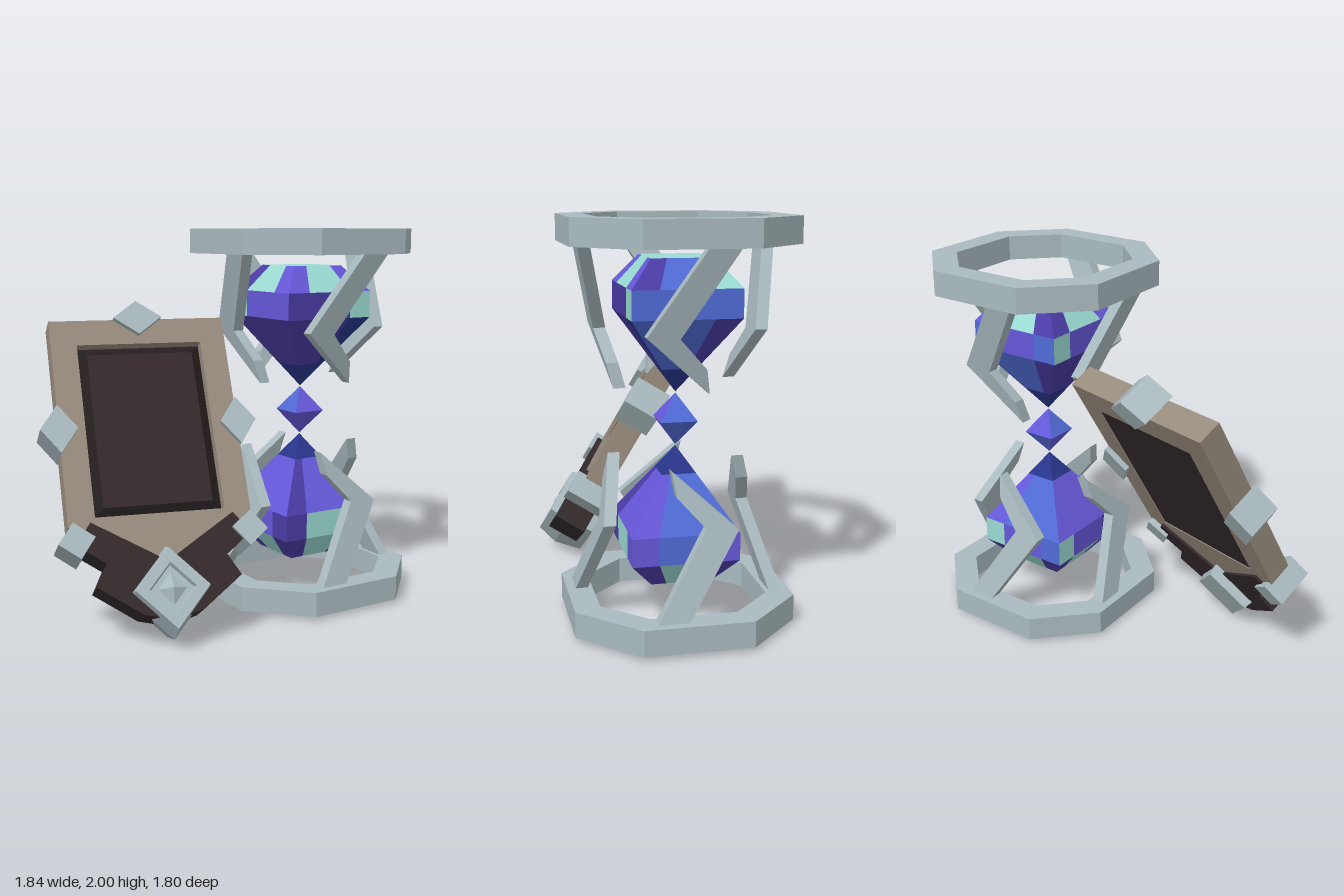
import * as THREE from 'three';

const mat = (name, color) => {
  const m = new THREE.MeshStandardMaterial({ color });
  m.name = name;
  return m;
};
const silver = mat('silver', 0xa9babf);
const brown = mat('frameBrown', 0x978b7d);
const dark = mat('darkLeather', 0x342a2c);
const black = mat('blackTrim', 0x251e1f);
const gemColours = {
  V: mat('violet', 0x6658da), D: mat('deepViolet', 0x4b3ca6), B: mat('blue', 0x506bd6),
  N: mat('navy', 0x29358c), T: mat('teal', 0x9adbd3),
};

function add(parent, name, geometry, material) {
  const m = new THREE.Mesh(geometry, material);
  m.name = name;
  parent.add(m);
  return m;
}
const shapeOf = pts => new THREE.Shape(pts.map(p => new THREE.Vector2(...p)));
const pathOf = pts => new THREE.Path(pts.map(p => new THREE.Vector2(...p)));

// Slab of a 2D outline (with optional hole) between depths z0 and z1
function slab(pts, z0, z1, hole) {
  const s = shapeOf(pts);
  if (hole) s.holes.push(pathOf(hole));
  return new THREE.ExtrudeGeometry(s, { depth: z1 - z0, bevelEnabled: false }).translate(0, 0, z0);
}
const rhombus = (a, b, x = 0, y = 0) => [[x + a, y], [x, y + b], [x - a, y], [x, y - b]];
const octagon = (r, h) => [[r, -h], [r, h], [h, r], [-h, r], [-r, h], [-r, -h], [-h, -r], [h, -r]];

// Square-section gem; every side has rows of coloured cells
function makeGem(name, levels, sides, cap) {
  const bins = {};
  const push = (c, ...pts) => (bins[c] ??= []).push(...pts.flat());
  const cols = [0, 0.25, 0.75, 1];
  const corner = k => [[0, 1], [1, 0], [0, -1], [-1, 0]][k % 4];
  const at = (k, f, [y, r]) => {
    const [a, b] = [corner(k), corner(k + 1)];
    return [r * (a[0] + (b[0] - a[0]) * f), y, r * (a[1] + (b[1] - a[1]) * f)];
  };
  sides.forEach((rows, k) => rows.forEach((row, j) => {
    for (let i = 0; i < row.length; i++) {
      const [f0, f1] = row.length === 1 ? [0, 1] : [cols[i], cols[i + 1]];
      const [tl, tr] = [at(k, f0, levels[j]), at(k, f1, levels[j])];
      const [bl, br] = [at(k, f0, levels[j + 1]), at(k, f1, levels[j + 1])];
      if (levels[j][1] > 0) push(row[i], tl, bl, tr);
      if (levels[j + 1][1] > 0) push(row[i], tr, bl, br);
    }
  }));
  if (cap) {
    const c = [0, 1, 2, 3].map(k => at(k, 0, levels[0]));
    push(cap, c[0], c[1], c[2], c[0], c[2], c[3]);
  }
  const g = new THREE.Group();
  g.name = name;
  for (const c in bins) {
    const geo = new THREE.BufferGeometry();
    geo.setAttribute('position', new THREE.Float32BufferAttribute(bins[c], 3));
    geo.computeVertexNormals();
    add(g, name + 'Facets', geo, gemColours[c]);
  }
  return g;
}

// One bent strut leaning inward toward the waist
function strutGeometry() {
  const g = slab([[0.2, 1.89], [0.05, 1.89], [-0.22, 1.47], [0.09, 1.19], [0.07, 1.31], [-0.065, 1.46]], -0.03, 0.03);
  const p = g.attributes.position;
  for (let i = 0; i < p.count; i++) p.setZ(i, p.getZ(i) + 0.477 - 0.26 * (1.9 - p.getY(i)));
  g.computeVertexNormals();
  return g;
}

// Half of the hourglass: ring, four struts and a gem bulb
function makeHalf(name, sides) {
  const g = new THREE.Group();
  g.name = name;
  const ring = slab(octagon(0.572, 0.197), 1.87, 2, octagon(0.443, 0.145)).rotateX(-Math.PI / 2);
  add(g, 'ring', ring, silver);
  const strut = strutGeometry();
  for (let k = 0; k < 4; k++) add(g, 'strut', strut, silver).rotation.y = Math.PI * (0.25 + k / 2);
  const levels = [[1.805, 0.215], [1.67, 0.375], [1.53, 0.375], [1.27, 0.122], [1.145, 0]];
  g.add(makeGem('gemBulb', levels, sides, 'T'));
  return g;
}

function makeHourglass() {
  const g = new THREE.Group();
  g.name = 'hourglass';
  g.position.set(0.345, 0, -0.33);
  g.add(makeHalf('upperHalf', [
    ['VTV', 'DDT', 'DDN', 'N'], ['DBT', 'BBB', 'BBD', 'N'],
    ['VTD', 'BVB', 'BBD', 'N'], ['DTV', 'TVV', 'DDD', 'N']]));
  const lower = makeHalf('lowerHalf', [
    ['DTD', 'VBV', 'BBV', 'N'], ['DTD', 'VTD', 'VVD', 'N'],
    ['DTD', 'DVT', 'VVV', 'N'], ['DTD', 'BVT', 'BBV', 'N']]);
  lower.rotation.x = Math.PI;
  lower.position.y = 2.02;
  g.add(lower);
  g.add(makeGem('middleGem', [[1.14, 0], [1.01, 0.13], [0.88, 0]],
    [['V', 'V'], ['B', 'B'], ['V', 'B'], ['B', 'V']]));
  return g;
}

// Tilted shield-shaped frame; local origin is the middle of its top front edge
function makeFrame() {
  const g = new THREE.Group();
  g.name = 'tiltedFrame';
  g.position.set(-0.465, 1.525, 0.08);
  g.rotation.set(-Math.PI / 6, Math.PI / 6, 0, 'YXZ');

  const w = 0.33, top = -0.139, bottom = -1.06;
  const border = [[0.465, 0], [-0.465, 0], [-0.465, -1.1], [0, -1.31], [0.465, -1.1]];
  add(g, 'frameBorder', slab(border, -0.135, 0, [[w, top], [-w, top], [-w, bottom], [w, bottom]]), brown);

  // Panel with a raised, bevelled face
  const cy = (top + bottom) / 2, h = top - bottom;
  add(g, 'panelBack', new THREE.BoxGeometry(2 * w, h, 0.07), dark).position.set(0, cy, -0.095);
  const face = new THREE.BoxGeometry(2 * w, h, 0.04);
  const p = face.attributes.position;
  for (let i = 0; i < p.count; i++) {
    if (p.getZ(i) > 0) p.setXY(i, p.getX(i) - Math.sign(p.getX(i)) * 0.05, p.getY(i) - Math.sign(p.getY(i)) * 0.05);
  }
  face.computeVertexNormals();
  add(g, 'panelFace', face, [black, black, black, black, dark, black]).position.set(0, cy, -0.04);

  // Dark stepped skirt under the border
  const half = [[0.36, -1.09], [0.44, -1.2], [0.3, -1.3], [0.36, -1.41], [0.15, -1.56]];
  const mirrored = half.map(([x, y]) => [-x, y]).reverse();
  add(g, 'skirt', slab([[0, -1.31], ...half, [0, -1.6], ...mirrored], -0.15, 0.03), dark);

  // Edge studs and shoulder blocks
  add(g, 'topStud', slab(rhombus(0.128, 0.095), -0.165, 0.03), silver);
  for (const s of [-1, 1]) {
    add(g, 'sideStud', slab(rhombus(0.095, 0.128, s * 0.465, -0.6), -0.165, 0.03), silver);
    const block = add(g, 'shoulderBlock', new THREE.BoxGeometry(0.13, 0.13, 0.22), silver);
    block.position.set(s * 0.435, -1.18, -0.06);
    block.rotation.z = s * 0.65;
  }

  // Bottom diamond boss: bulging sides, raised rim and a recessed pyramid
  const profile = [[0, -0.2], [0.185, -0.2], [0.22, -0.05], [0.19, 0.07], [0.12, 0.07], [0.11, 0.045], [0.075, 0.045], [0, 0.08]];
  const boss = new THREE.LatheGeometry(profile.map(q => new THREE.Vector2(...q)), 4)
    .toNonIndexed().rotateX(Math.PI / 2).scale(0.97, 1.05, 1);
  boss.computeVertexNormals();
  add(g, 'bottomBoss', boss, silver).position.set(0, -1.451, 0);
  return g;
}

export function createModel() {
  const model = new THREE.Group();
  model.name = 'hourglassAndFrame';
  model.add(makeHourglass(), makeFrame());
  return model;
}
